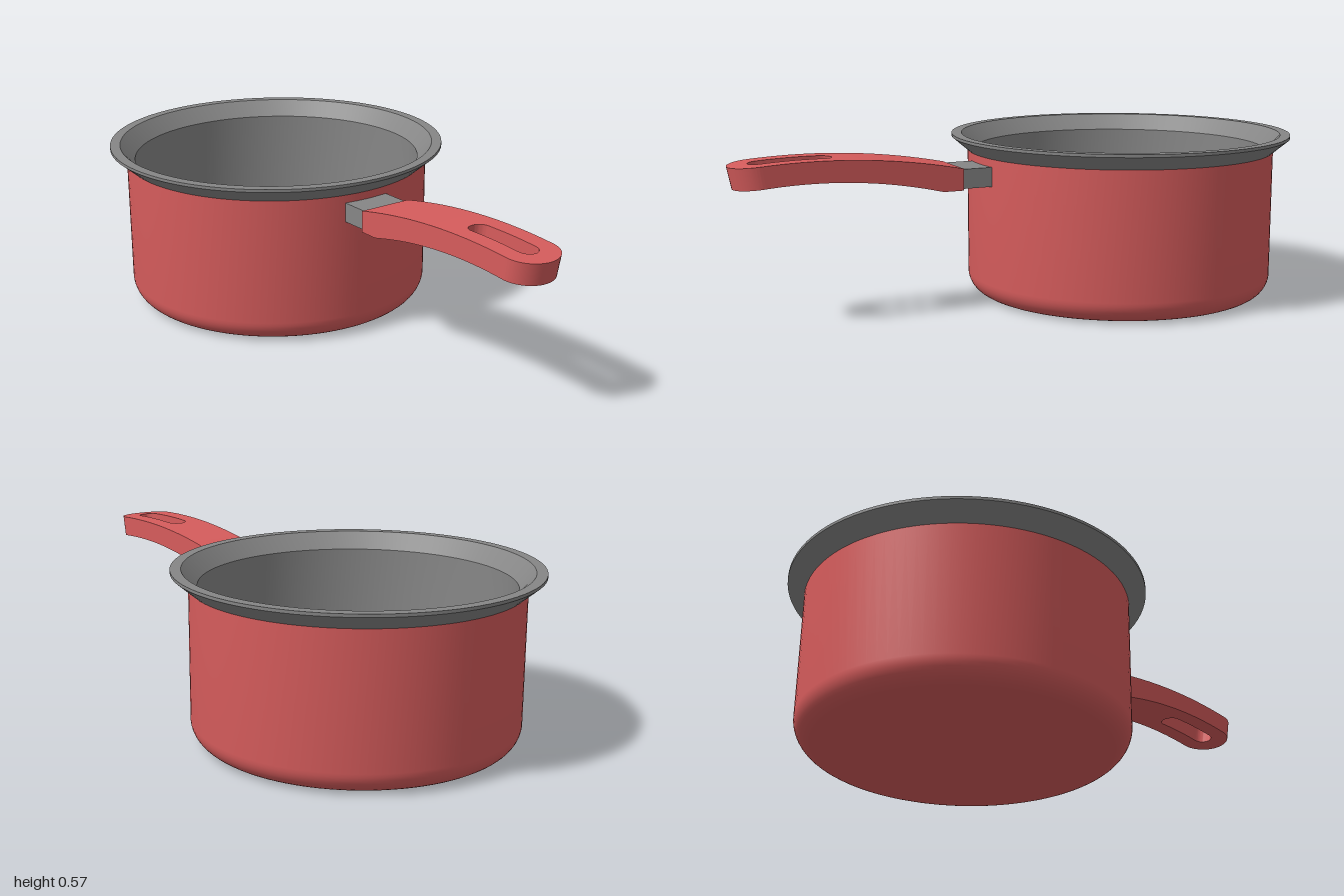
import * as THREE from 'three';
import { toCreasedNormals } from 'three/addons/utils/BufferGeometryUtils.js';

const POT_X = -0.403;
const red = new THREE.MeshStandardMaterial({ name: 'red enamel', color: 0xd65c5c });
const grey = new THREE.MeshStandardMaterial({ name: 'grey metal', color: 0x868686 });

function part(name, geometry, material) {
  const mesh = new THREE.Mesh(geometry, material);
  mesh.name = name;
  return mesh;
}

// Points of a quarter arc, from angle a0 to a1 in degrees
function arc(cx, cy, r, a0, a1, n = 10) {
  return Array.from({ length: n + 1 }, (_, i) => {
    const a = THREE.MathUtils.degToRad(a0 + (a1 - a0) * i / n);
    return [cx + r * Math.cos(a), cy + r * Math.sin(a)];
  });
}

function turned(name, profile, material) {
  const points = profile.map(([x, y]) => new THREE.Vector2(x, y));
  const mesh = part(name, toCreasedNormals(new THREE.LatheGeometry(points, 96), 0.5), material);
  mesh.position.x = POT_X;
  return mesh;
}

// Curved handle: cross-sections along x, split either side of the hanging slot
function handleGeometry() {
  const start = 0.235, end = 1, width = 0.095, tip = 0.087;
  const slot = { from: 0.66, to: 0.935, r: 0.035 };
  const top = x => 0.543 - 0.215 * (x - 0.74) ** 2;
  const bottom = x => Math.max(0.415, 0.472 - 0.28 * (x - 0.76) ** 2);
  const halfWidth = x => width * Math.sqrt(Math.max(0, 1 - (Math.max(0, x - end + tip) / tip) ** 2));
  const halfSlot = x => {
    const d = Math.max(slot.from + slot.r - x, x - slot.to + slot.r, 0);
    return d < slot.r - 1e-6 ? Math.sqrt(slot.r ** 2 - d ** 2) : 0;
  };

  // Stations, closer together at the rounded ends
  const xs = [];
  for (let i = 0; i < 24; i++) xs.push(start + (slot.from - start) * i / 24);
  for (let i = 0; i < 8; i++) xs.push(slot.from + slot.r + (0.9 - slot.from - slot.r) * (i + 0.5) / 8);
  for (let i = 0; i <= 12; i++) {
    const a = i / 12 * Math.PI / 2;
    xs.push(slot.from + slot.r * (1 - Math.cos(a)));
    xs.push(slot.to - slot.r * (1 - Math.cos(a)));
    xs.push(end - tip * (1 - Math.sin(a)));
  }
  xs.sort((a, b) => a - b);

  const positions = [];
  const quad = (a, b, c, d, side) => {
    const order = side > 0 ? [a, b, c, a, c, d] : [a, c, b, a, d, c];
    order.forEach(p => positions.push(...p));
  };
  for (const side of [1, -1]) {
    const rings = xs.map(x => {
      const lowX = x - 0.015 * (x - start) / (end - start);
      const inner = side * halfSlot(x), outer = side * halfWidth(x);
      return [[x, top(x), inner], [x, top(x), outer], [lowX, bottom(x), outer], [lowX, bottom(x), inner]];
    });
    for (let i = 0; i < rings.length - 1; i++) {
      const p = rings[i], q = rings[i + 1];
      for (let k = 0; k < 4; k++) {
        if (k === 3 && p[0][2] === 0 && q[0][2] === 0) continue; // no wall outside the slot
        const n = (k + 1) % 4;
        quad(p[k], p[n], q[n], q[k], side);
      }
    }
    const [a, b, c, d] = rings[0];
    quad(a, d, c, b, side);
  }
  const geometry = new THREE.BufferGeometry();
  geometry.setAttribute('position', new THREE.Float32BufferAttribute(positions, 3));
  return toCreasedNormals(geometry, 0.6);
}

export function createModel() {
  const model = new THREE.Group();
  model.name = 'saucepan';

  // Red outside of the pot
  model.add(turned('potBody', [[0, 0], ...arc(0.465, 0.075, 0.075, -90, 0), [0.54, 0.512]], red));

  // Flared rim, inner wall and floor
  model.add(turned('rimAndLining', [
    [0.54, 0.512], [0.597, 0.56], [0.597, 0.57], [0.562, 0.57], [0.511, 0.515],
    ...arc(0.446, 0.095, 0.065, 0, -90), [0, 0.03],
  ], grey));

  // Bracket joining pot and handle
  const bracket = part('handleBracket', new THREE.BoxGeometry(0.125, 0.066, 0.17), grey);
  bracket.position.set(0.1775, 0.452, 0);
  model.add(bracket);

  model.add(part('handle', handleGeometry(), red));
  return model;
}
